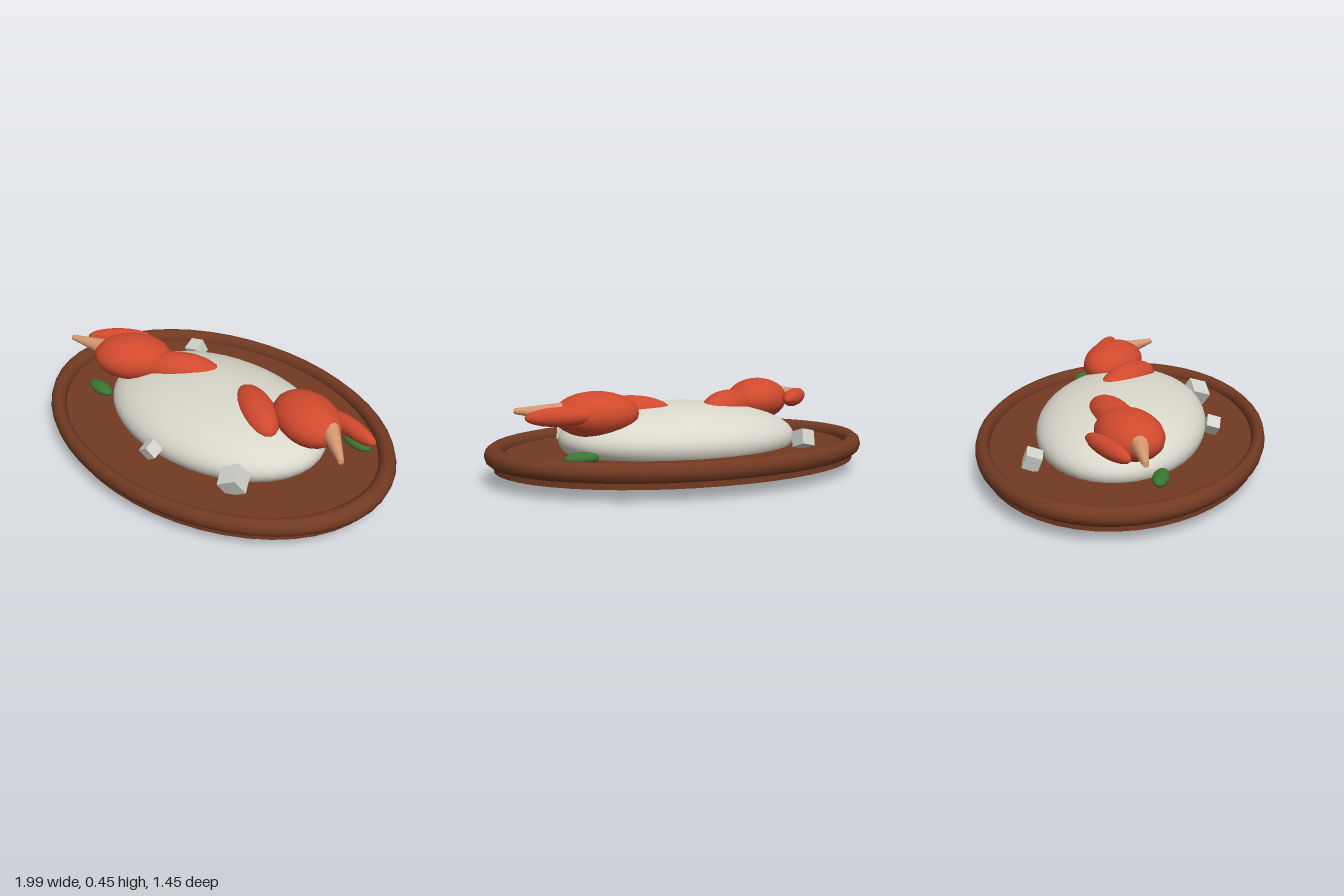
import * as THREE from 'three';

const mat = (name, color) => {
  const m = new THREE.MeshStandardMaterial({ color });
  m.name = name;
  return m;
};

export function createModel() {
  const wood = mat('brown wood', 0x733a22);
  const ice = mat('pale mound', 0xdad7cb);
  const cube = mat('ice cube', 0xd3d3cd);
  const red = mat('red shell', 0xd14a2e);
  const peach = mat('peach tip', 0xdb9a72);
  const green = mat('green leaf', 0x3c7530);

  const model = new THREE.Group();
  model.name = 'seafoodPlatter';

  const add = (parent, name, geometry, material, position) => {
    const mesh = new THREE.Mesh(geometry, material);
    mesh.name = name;
    mesh.position.set(...position);
    parent.add(mesh);
    return mesh;
  };
  // ellipsoid with its long axis turned in the ground plane (positive turns +x towards +z)
  const ellipsoid = (parent, name, material, position, radii, turn = 0, segments = 20) => {
    const g = new THREE.SphereGeometry(1, segments, Math.round(segments * 0.7));
    const mesh = add(parent, name, g, material, position);
    mesh.scale.set(...radii);
    mesh.rotation.y = -turn;
    return mesh;
  };

  // Oval platter with raised rim
  const depth = 0.725;
  const base = new THREE.CylinderGeometry(0.95, 0.95, 0.075, 48).scale(1, 1, depth);
  add(model, 'platterBase', base, wood, [0, 0.0975, 0]);
  const rim = new THREE.TorusGeometry(0.95, 0.047, 10, 48).rotateX(Math.PI / 2).scale(1, 1, depth);
  add(model, 'platterRim', rim, wood, [0, 0.135, 0]);

  // Mound showing above and below the platter
  const mound = ellipsoid(model, 'mound', ice, [0, 0.183, 0], [0.635, 0.181, 0.425], 0, 40);
  mound.rotation.z = 0.025;

  // Claws: arm, palm, fixed finger and pale pointed finger
  const claws = [
    {
      name: 'rightClaw',
      arm: [-0.27, 0.32, -0.01], armTurn: -0.55,
      palm: [-0.515, 0.338, 0.095], palmTurn: -0.6,
      finger: [-0.706, 0.345, 0.02], fingerTurn: -0.73,
      from: [-0.6, 0.355, 0.14], to: [-0.875, 0.35, 0.205],
    },
    {
      name: 'leftClaw',
      arm: [0.27, 0.32, 0], armTurn: 0.5,
      palm: [0.5, 0.338, -0.107], palmTurn: 0.28,
      finger: [0.705, 0.348, -0.183], fingerTurn: 0.17,
      from: [0.62, 0.355, -0.115], to: [0.845, 0.355, 0.065],
    },
  ];
  for (const c of claws) {
    const claw = new THREE.Group();
    claw.name = c.name;
    model.add(claw);
    ellipsoid(claw, 'arm', red, c.arm, [0.21, 0.087, 0.092], c.armTurn);
    ellipsoid(claw, 'palm', red, c.palm, [0.206, 0.111, 0.15], c.palmTurn);
    ellipsoid(claw, 'finger', red, c.finger, [0.17, 0.046, 0.042], c.fingerTurn, 16);
    const from = new THREE.Vector3(...c.from);
    const to = new THREE.Vector3(...c.to);
    const dir = to.clone().sub(from);
    const cone = new THREE.CylinderGeometry(0.014, 0.054, dir.length(), 12);
    const mid = from.clone().add(to).multiplyScalar(0.5);
    add(claw, 'paleFinger', cone, peach, mid.toArray())
      .quaternion.setFromUnitVectors(new THREE.Vector3(0, 1, 0), dir.normalize());
  }

  // Leaves
  ellipsoid(model, 'leaf', green, [0.66, 0.17, -0.31], [0.085, 0.029, 0.04], 0.06, 16);
  ellipsoid(model, 'leaf', green, [-0.61, 0.17, 0.25], [0.085, 0.029, 0.04], 0.06, 16);

  // Tumbled cubes
  const cubes = [
    [0.45, 0.195, 0.35, 0.1, 0.4, 0.5, 0.3],
    [0, 0.193, 0.455, 0.068, 0.3, 0.15, 0.6],
    [-0.51, 0.185, -0.36, 0.078, 0.35, 0.2, 0.15],
  ];
  for (const [x, y, z, size, rx, ry, rz] of cubes) {
    add(model, 'cube', new THREE.BoxGeometry(size, size, size), cube, [x, y, z]).rotation.set(rx, ry, rz);
  }

  return model;
}
